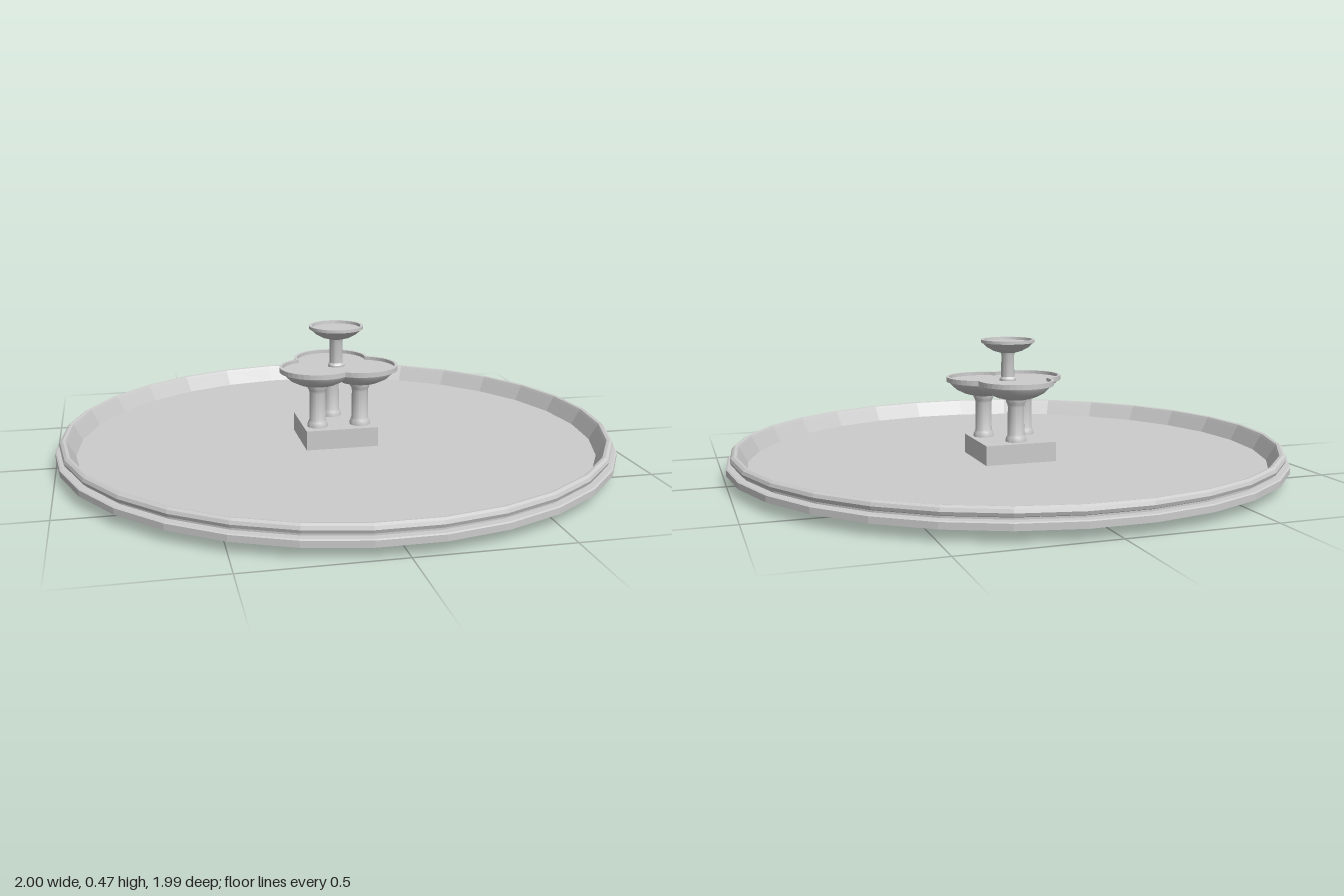
import * as THREE from 'three';
import { toCreasedNormals } from 'three/addons/utils/BufferGeometryUtils.js';

const LOBE_DIST = 0.09;
const lobeAngles = [90, 210, 330].map(THREE.MathUtils.degToRad);

export function createModel() {
  const model = new THREE.Group();
  const smooth = new THREE.MeshStandardMaterial({ color: 0xcccccc });
  const faceted = new THREE.MeshStandardMaterial({ color: 0xcccccc, flatShading: true });

  function add(name, geometry, material = smooth, x = 0, y = 0, z = 0) {
    const mesh = new THREE.Mesh(geometry, material);
    mesh.name = name;
    mesh.position.set(x, y, z);
    model.add(mesh);
    return mesh;
  }

  // Turned profile, listed from the bottom up along the outside
  function turned(points, sides) {
    return new THREE.LatheGeometry(points.map(([r, y]) => new THREE.Vector2(r, y)), sides, Math.PI / 2);
  }
  const creased = (points, sides) => toCreasedNormals(turned(points, sides), 0.6);

  // Outline of three overlapping circles
  function trefoil(radius, Type = THREE.Shape) {
    const h = LOBE_DIST * Math.sin(Math.PI / 3);
    const notch = LOBE_DIST / 2 + Math.sqrt(radius * radius - h * h);
    const sweep = Math.atan2(h, notch - LOBE_DIST / 2);
    const half = Math.PI / 3 + sweep;
    const points = [];
    for (const a of lobeAngles) {
      for (let i = 0; i < 20; i++) {
        const t = a - half + (2 * half * i) / 20;
        points.push(new THREE.Vector2(
          LOBE_DIST * Math.cos(a) + radius * Math.cos(t),
          LOBE_DIST * Math.sin(a) + radius * Math.sin(t)));
      }
    }
    return new Type(points);
  }
  function slab(shape, depth) {
    const g = new THREE.ExtrudeGeometry(shape, { depth, bevelEnabled: false });
    return g.rotateX(-Math.PI / 2);
  }

  // Wide shallow pool with a stepped, rounded rim
  add('basin', turned([
    [0, 0.033], [0.93, 0.033], [0.93, 0.037], [1, 0.037], [1, 0.058], [0.995, 0.061],
    [0.972, 0.062], [0.972, 0.068], [0.982, 0.072], [0.986, 0.083], [0.982, 0.094],
    [0.973, 0.1], [0.963, 0.098], [0.958, 0.09], [0.93, 0.04], [0, 0.04],
  ], 30), faceted);

  // Square block passing through the pool floor
  add('pedestal', new THREE.BoxGeometry(0.26, 0.11, 0.26), smooth, 0, 0.055, -0.02);

  // One column and one bowl under each lobe of the tray
  const column = creased([
    [0, 0.105], [0.037, 0.105], [0.037, 0.118], [0.033, 0.128], [0.03, 0.135],
    [0.029, 0.235], [0.031, 0.245], [0.036, 0.254], [0.036, 0.27],
  ], 20);
  const lobe = creased([
    [0, 0.26], [0.04, 0.262], [0.07, 0.27], [0.1, 0.285], [0.122, 0.306],
    [0.124, 0.313], [0, 0.313],
  ], 30);
  lobeAngles.forEach((a) => {
    const x = LOBE_DIST * Math.cos(a), z = -LOBE_DIST * Math.sin(a);
    add('column', column, smooth, x, 0, z);
    add('lowerBowl', lobe, smooth, x, 0, z);
  });

  // Three-lobed tray: flat floor and raised lip
  add('trayFloor', slab(trefoil(0.13), 0.006), smooth, 0, 0.312, 0);
  const lip = trefoil(0.135);
  lip.holes.push(trefoil(0.125, THREE.Path));
  add('trayLip', slab(lip, 0.017), smooth, 0, 0.313, 0);

  // Central stem carrying the small top bowl
  add('stem', creased([
    [0.03, 0.315], [0.03, 0.324], [0.024, 0.332], [0.023, 0.41], [0.028, 0.425],
  ], 20));
  add('topBowl', creased([
    [0, 0.418], [0.028, 0.419], [0.052, 0.426], [0.074, 0.438], [0.09, 0.453],
    [0.097, 0.456], [0.097, 0.467], [0.087, 0.467], [0.086, 0.457], [0, 0.457],
  ], 30));

  return model;
}
